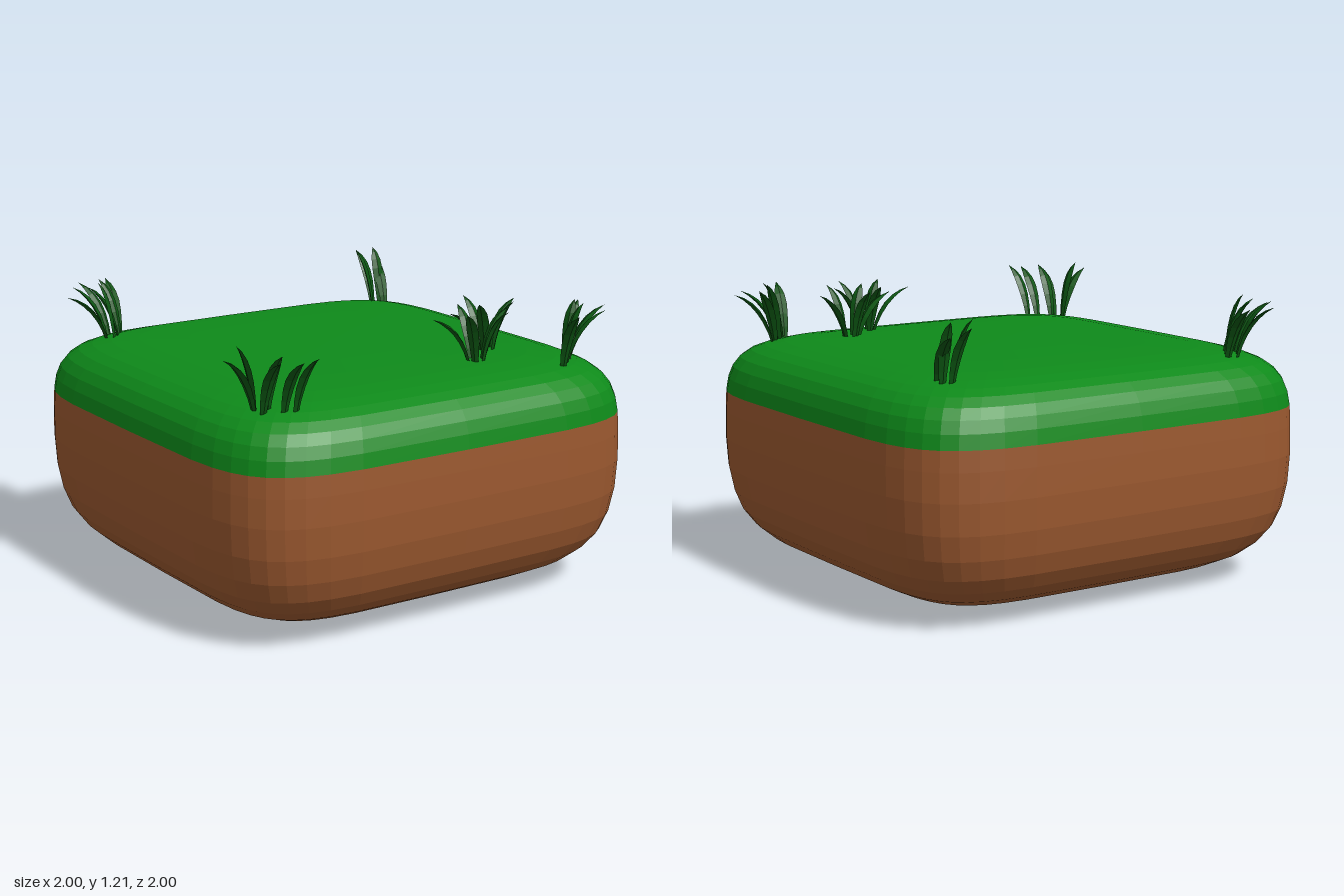
import * as THREE from 'three';

const paint = (color) => new THREE.MeshStandardMaterial({ color, flatShading: true });

// Skin a list of equal-length loops, each counterclockwise about the direction of travel
function loft(loops, material, name) {
  const n = loops[0].length, index = [];
  for (let i = 0; i < loops.length - 1; i++) {
    for (let j = 0; j < n; j++) {
      const a = i * n + j, b = i * n + (j + 1) % n;
      index.push(a, b, b + n, a, b + n, a + n);
    }
  }
  const indexed = new THREE.BufferGeometry().setFromPoints(loops.flat());
  indexed.setIndex(index);
  const geometry = indexed.toNonIndexed();
  geometry.computeVertexNormals();
  const mesh = new THREE.Mesh(geometry, material);
  mesh.name = name;
  return mesh;
}

// Rounded-square ring of the block at a given half-width and height
function blockRing([size, y]) {
  const bulge = (v) => Math.sign(v) * Math.pow(Math.abs(v), 2 / 5.5);
  return Array.from({ length: 40 }, (_, i) => {
    const a = (i / 40) * Math.PI * 2;
    return new THREE.Vector3(size * bulge(Math.cos(a)), y, -size * bulge(Math.sin(a)));
  });
}

// Pointed blade that rises from its foot and leans out to its tip
function blade([x0, z0, x1, z1], footY, material) {
  const reach = Math.hypot(x1 - x0, z1 - z0);
  const tipY = Math.min(1.21, 1.25 - 0.45 * reach);
  const out = new THREE.Vector3(x1 - x0, 0, z1 - z0).normalize();
  const side = new THREE.Vector3(out.z, 0, -out.x);
  const path = new THREE.QuadraticBezierCurve3(
    new THREE.Vector3(x0, footY, z0),
    new THREE.Vector3(x0 + (x1 - x0) * 0.25, footY + (tipY - footY) * 0.8, z0 + (z1 - z0) * 0.25),
    new THREE.Vector3(x1, tipY, z1));
  const widths = [0.013, 0.019, 0.024, 0.026, 0.023, 0.014, 0];
  const loops = widths.map((w, i) => {
    const t = i / (widths.length - 1), p = path.getPoint(t);
    const up = path.getTangent(t).cross(side);
    return [0, 1, 2, 3].map((k) => p.clone()
      .addScaledVector(side, w * Math.cos(k * Math.PI / 2))
      .addScaledVector(up, w * 0.35 * Math.sin(k * Math.PI / 2)));
  });
  return loft(loops, material, 'blade');
}

export function createModel() {
  const model = new THREE.Group();
  model.name = 'grassBlock';

  // Earth below, turf above: [half-width, height]
  const earth = [[0, 0], [0.3, 0.003], [0.5, 0.013], [0.65, 0.032], [0.76, 0.062], [0.84, 0.102],
    [0.9, 0.155], [0.945, 0.22], [0.975, 0.305], [0.993, 0.41], [1, 0.54], [0.998, 0.66], [0.994, 0.745]];
  const turf = [[0.994, 0.745], [0.985, 0.805], [0.968, 0.855], [0.94, 0.897], [0.9, 0.93],
    [0.85, 0.953], [0.78, 0.971], [0.68, 0.983], [0.5, 0.992], [0.3, 0.995], [0, 0.996]];
  model.add(loft(earth.map(blockRing), paint(0x9a582f), 'earth'));
  model.add(loft(turf.map(blockRing), paint(0x0e8a1a), 'turf'));

  // Tufts: each blade is foot x, z then tip x, z
  const tufts = {
    backRightTuft: { y: 0.94, blades: [
      [-0.71, -0.7, -0.9, -0.7], [-0.69, -0.74, -0.82, -0.81], [-0.66, -0.78, -0.73, -0.93],
      [-0.61, -0.78, -0.59, -0.94], [-0.66, -0.69, -0.78, -0.74], [-0.63, -0.74, -0.67, -0.85],
      [-0.69, -0.67, -0.74, -0.72]] },
    backLeftTuft: { y: 0.94, blades: [
      [0.69, -0.67, 0.63, -0.73], [0.71, -0.7, 0.7, -0.83], [0.73, -0.63, 0.79, -0.82],
      [0.74, -0.68, 0.75, -0.76]] },
    frontRightTuft: { y: 0.94, blades: [
      [-0.8, 0.67, -0.96, 0.71], [-0.79, 0.66, -0.87, 0.66], [-0.79, 0.72, -0.81, 0.88],
      [-0.76, 0.7, -0.77, 0.83], [-0.72, 0.76, -0.73, 0.92], [-0.68, 0.78, -0.66, 0.92]] },
    frontLeftTuft: { y: 0.94, blades: [
      [0.75, 0.69, 0.92, 0.72], [0.73, 0.71, 0.84, 0.64], [0.69, 0.75, 0.84, 0.82],
      [0.64, 0.79, 0.61, 0.92], [0.66, 0.77, 0.75, 0.78], [0.7, 0.73, 0.77, 0.7]] },
    nearStarTuft: { y: 0.97, blades: [
      [0.3, 0.59, 0.13, 0.56], [0.33, 0.57, 0.34, 0.45], [0.36, 0.6, 0.5, 0.59],
      [0.35, 0.62, 0.4, 0.72], [0.31, 0.62, 0.22, 0.68]] },
    farStarTuft: { y: 0.97, blades: [
      [0.45, 0.47, 0.27, 0.49], [0.48, 0.44, 0.47, 0.32], [0.51, 0.46, 0.66, 0.43],
      [0.5, 0.49, 0.54, 0.58], [0.46, 0.49, 0.38, 0.55]] },
  };
  const bladeGreen = paint(0x0c5512);
  for (const [name, { y, blades }] of Object.entries(tufts)) {
    const tuft = new THREE.Group();
    tuft.name = name;
    for (const b of blades) tuft.add(blade(b, y, bladeGreen));
    model.add(tuft);
  }
  return model;
}
